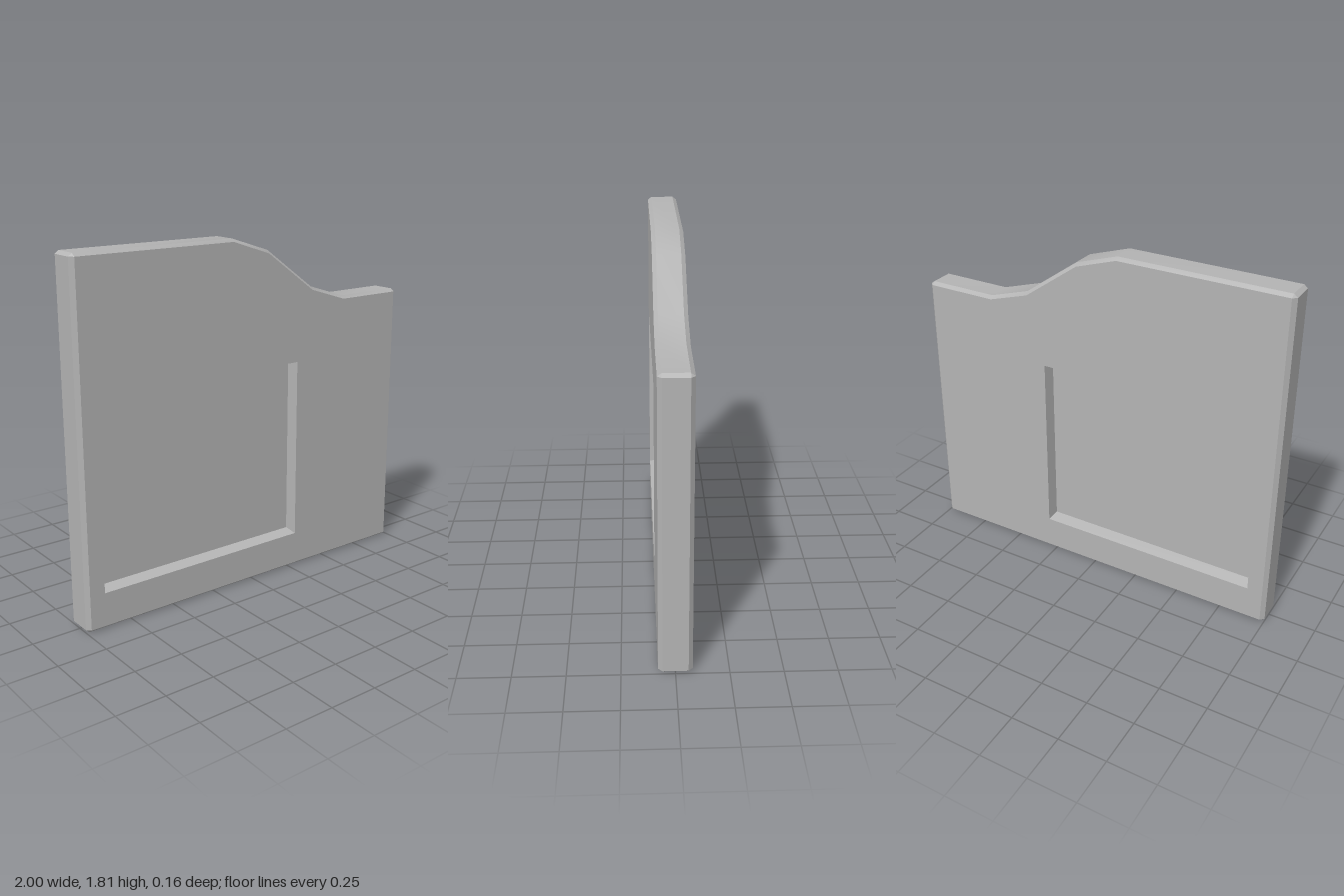
import * as THREE from 'three';
import { toCreasedNormals } from 'three/addons/utils/BufferGeometryUtils.js';

const HALF = 0.08, RIM = 0.06, FLOOR = 0.02;

// Outline of the flat faces; corners appear twice to pair with the chamfered rim
const face = [[-0.98, 0.015], [0.98, 0.015], [0.98, 0.015], [0.98, 1.445], [0.98, 1.445],
  [0.606, 1.445], [0.385, 1.515], [0.095, 1.725], [-0.122, 1.797],
  [-0.98, 1.797], [-0.98, 1.797], [-0.98, 0.015]];
// Widest outline, with cut corners
const rim = [[-0.98, 0], [0.98, 0], [1, 0.015], [1, 1.445], [0.98, 1.46],
  [0.61, 1.46], [0.39, 1.53], [0.1, 1.74], [-0.12, 1.812],
  [-0.98, 1.812], [-1, 1.797], [-1, 0.015]];
const rect = (l, b, r, t) => [[l, b], [r, b], [r, t], [l, t]];
const opening = rect(-0.9, 0.187, 0.29, 1.147);
const recess = rect(-0.888, 0.205, 0.278, 1.13);

const toVectors = (loop) => loop.map(([x, y]) => new THREE.Vector2(x, y));

function build(addFaces) {
  const positions = [];
  const triangle = (a, b, c) => {
    const area = new THREE.Triangle(a, b, c).getArea();
    if (area > 1e-8) for (const p of [a, b, c]) positions.push(p.x, p.y, p.z);
  };
  addFaces(triangle);
  const geometry = new THREE.BufferGeometry();
  geometry.setAttribute('position', new THREE.Float32BufferAttribute(positions, 3));
  return toCreasedNormals(geometry, THREE.MathUtils.degToRad(30));
}

// Band of quads joining two anticlockwise loops, facing outward when A is behind B
function band(triangle, loopA, zA, loopB, zB) {
  const at = ([x, y], z) => new THREE.Vector3(x, y, z);
  loopA.forEach((p, i) => {
    const j = (i + 1) % loopA.length;
    const a = at(p, zA), b = at(loopA[j], zA), c = at(loopB[j], zB), d = at(loopB[i], zB);
    triangle(a, b, c);
    triangle(a, c, d);
  });
}

// Flat cap at +z or -z with an optional hole
function cap(triangle, loop, hole, z) {
  const outline = toVectors(loop.filter((p, i) => {
    const q = loop[(i + 1) % loop.length];
    return p[0] !== q[0] || p[1] !== q[1];
  }));
  const holes = hole ? [toVectors(hole).reverse()] : [];
  const points = [outline, ...holes].flat().map((p) => new THREE.Vector3(p.x, p.y, z));
  for (const [a, b, c] of THREE.ShapeUtils.triangulateShape(outline, holes)) {
    if (z > 0) triangle(points[a], points[b], points[c]);
    else triangle(points[a], points[c], points[b]);
  }
}

export function createModel() {
  const group = new THREE.Group();
  group.name = 'panel';
  const grey = new THREE.MeshStandardMaterial({ color: 0xb4b4b4 });
  grey.name = 'grey';
  const add = (name, faces) => {
    const mesh = new THREE.Mesh(build(faces), grey);
    mesh.name = name;
    group.add(mesh);
  };

  // Bevelled slab with a stepped top, open at both recesses
  add('slab', (t) => {
    band(t, face, -HALF, rim, -RIM);
    band(t, rim, -RIM, rim, RIM);
    band(t, rim, RIM, face, HALF);
    cap(t, face, opening, HALF);
    cap(t, face, opening, -HALF);
  });

  // Shallow recesses with tapered walls
  add('frontRecess', (t) => {
    band(t, opening, HALF, recess, FLOOR);
    cap(t, recess, null, FLOOR);
  });
  add('backRecess', (t) => {
    band(t, recess, -FLOOR, opening, -HALF);
    cap(t, recess, null, -FLOOR);
  });
  return group;
}
